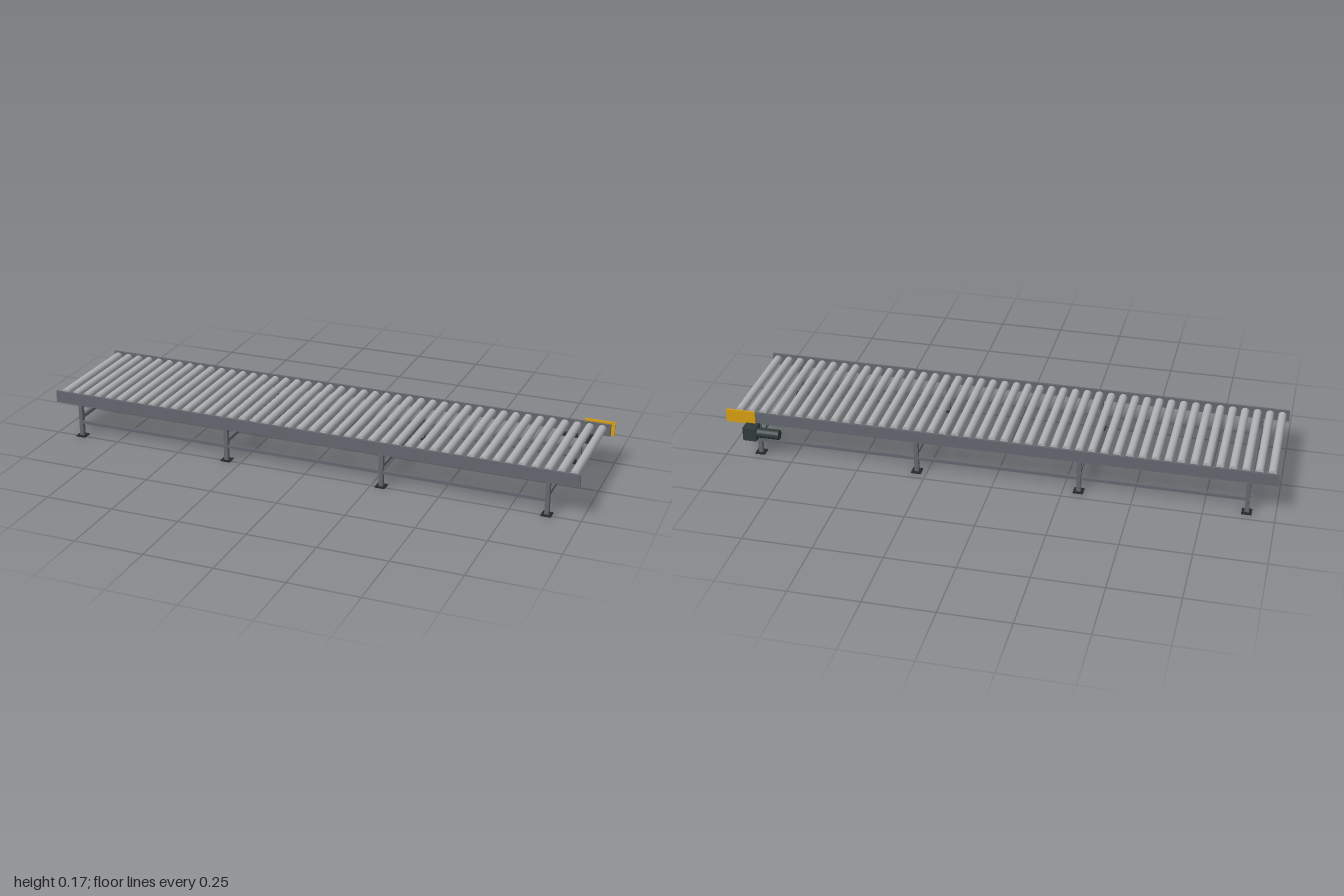
import * as THREE from 'three';

const material = (name, color) => {
  const m = new THREE.MeshStandardMaterial({ color });
  m.name = name;
  return m;
};

export function createModel() {
  const frameGrey = material('frame grey', 0x63686f);
  const rollerSteel = material('roller steel', 0xb0b2b5);
  const motorDark = material('motor dark green', 0x2f3b39);
  const guardYellow = material('guard yellow', 0xd9a010);
  const footBlack = material('foot black', 0x26282a);

  const model = new THREE.Group();
  model.name = 'rollerConveyor';

  const add = (name, geometry, mat, x, y, z) => {
    const mesh = new THREE.Mesh(geometry, mat);
    mesh.name = name;
    mesh.position.set(x, y, z);
    model.add(mesh);
    return mesh;
  };
  // Box given by its lower and upper limits on each axis
  const box = (name, mat, x0, x1, y0, y1, z0, z1) =>
    add(name, new THREE.BoxGeometry(x1 - x0, y1 - y0, z1 - z0), mat,
      (x0 + x1) / 2, (y0 + y1) / 2, (z0 + z1) / 2);

  const midZ = 0.0195;
  const halfGauge = 0.224;
  const legXs = [0, 1, 2, 3].map((i) => -0.9 + i * 0.5935);

  // Side rails, legs, feet and lengthwise braces on both sides
  for (const side of [1, -1]) {
    const z = midZ + side * halfGauge;
    box('sideRail', frameGrey, -1, 0.987, 0.122, 0.166, z - 0.0045, z + 0.0045);
    box('lengthBrace', frameGrey, legXs[0], legXs[3], 0.05, 0.061, z - 0.005, z + 0.005);
    for (const x of legXs) {
      box('leg', frameGrey, x - 0.0075, x + 0.0075, 0.003, 0.122, z - 0.0075, z + 0.0075);
      box('foot', footBlack, x - 0.018, x + 0.018, 0, 0.004, z - 0.018, z + 0.018);
    }
  }

  // Cross braces joining each pair of legs
  for (const x of legXs) {
    box('crossBrace', frameGrey, x - 0.006, x + 0.006, 0.07, 0.083,
      midZ - halfGauge, midZ + halfGauge);
  }

  // Rollers, each with a short shaft stub on the drive side
  const rollerGeometry = new THREE.CylinderGeometry(0.0148, 0.0148, 0.412, 20).rotateX(Math.PI / 2);
  const stubGeometry = new THREE.CylinderGeometry(0.002, 0.002, 0.01, 8).rotateX(Math.PI / 2);
  const rollerCount = 44;
  for (let i = 0; i < rollerCount; i++) {
    const x = -0.975 + (i * 1.935) / (rollerCount - 1);
    add('roller', rollerGeometry, rollerSteel, x, 0.1535, midZ);
    add('rollerShaft', stubGeometry, footBlack, x, 0.1535, -0.185);
  }

  // Drive unit: gearbox, motor and chain guard
  box('gearbox', motorDark, 0.875, 0.925, 0.076, 0.127, -0.2585, -0.211);
  add('motor', new THREE.CylinderGeometry(0.0185, 0.0185, 0.085, 24).rotateZ(Math.PI / 2),
    motorDark, 0.8345, 0.1025, -0.2365);
  box('chainGuard', guardYellow, 0.89, 1, 0.123, 0.173, -0.2175, -0.211);

  return model;
}
